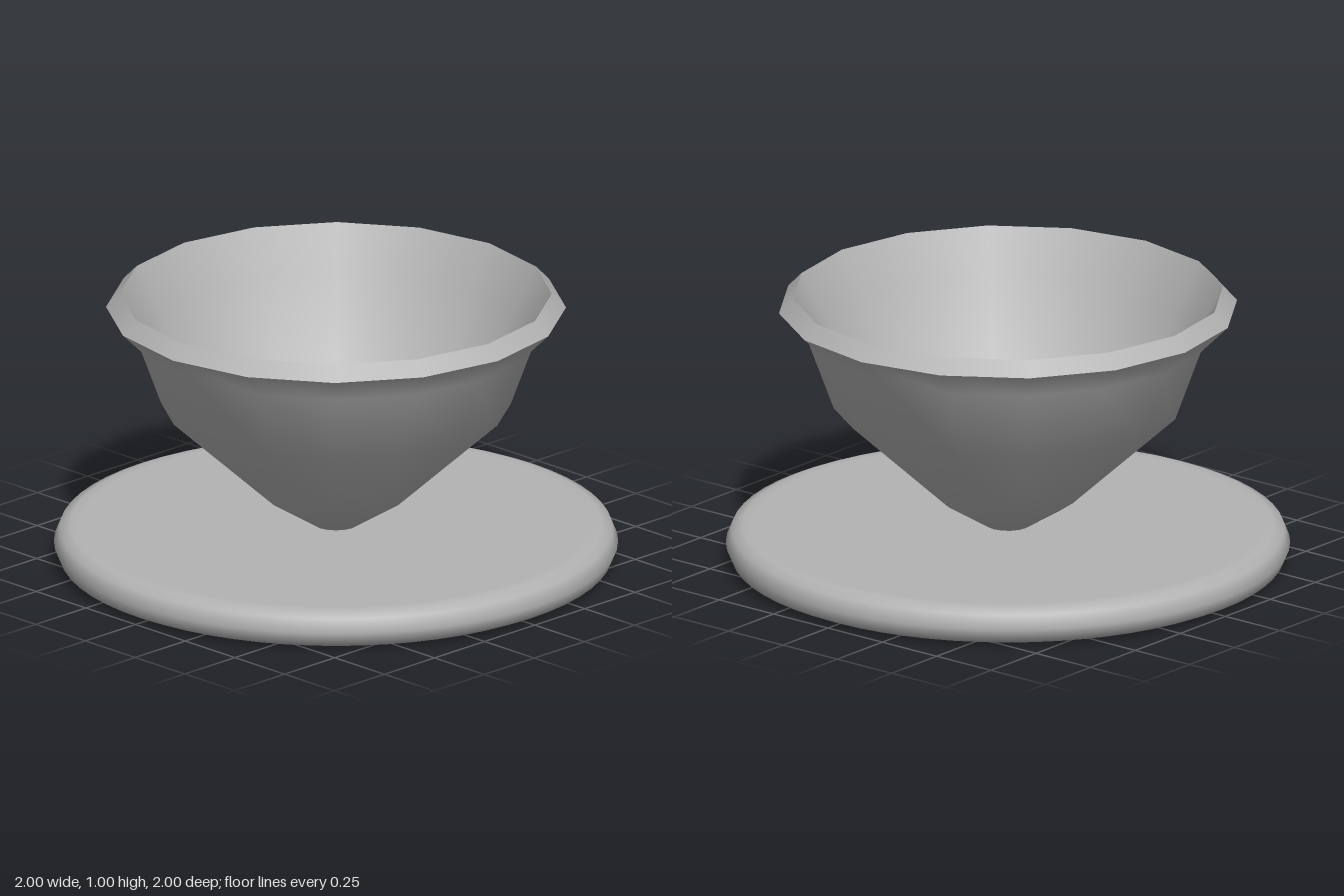
import * as THREE from 'three';

export function createModel() {
  const model = new THREE.Group();
  model.name = 'bowlOnPlate';
  const grey = new THREE.MeshStandardMaterial({ color: 0xb3b3b3 });
  grey.name = 'plain grey';

  // Turn a [radius, height] profile around the y axis
  const turn = (name, profile, sides, parent) => {
    const points = profile.map(([r, y]) => new THREE.Vector2(r, y));
    const mesh = new THREE.Mesh(new THREE.LatheGeometry(points, sides), grey);
    mesh.name = name;
    parent.add(mesh);
  };

  // Round plate with a soft edge
  turn('plate', [
    [0, 0], [0.9, 0], [0.94, 0.002], [0.98, 0.02], [1, 0.068],
    [0.98, 0.117], [0.94, 0.134], [0.9, 0.135], [0, 0.135],
  ], 64, model);

  // Sixteen-sided bowl: smooth outside and inside, sharp bevelled rim
  const bowl = new THREE.Group();
  bowl.name = 'bowl';
  model.add(bowl);
  turn('bowlOutside', [
    [0, 0.11], [0.08, 0.135], [0.24, 0.235], [0.62, 0.585], [0.715, 0.845], [0.815, 0.945],
  ], 16, bowl);
  turn('bowlRim', [[0.815, 0.945], [0.765, 0.997]], 16, bowl);
  turn('bowlInside', [
    [0.765, 0.997], [0.68, 0.84], [0.54, 0.57], [0.22, 0.29], [0, 0.2],
  ], 16, bowl);

  return model;
}
